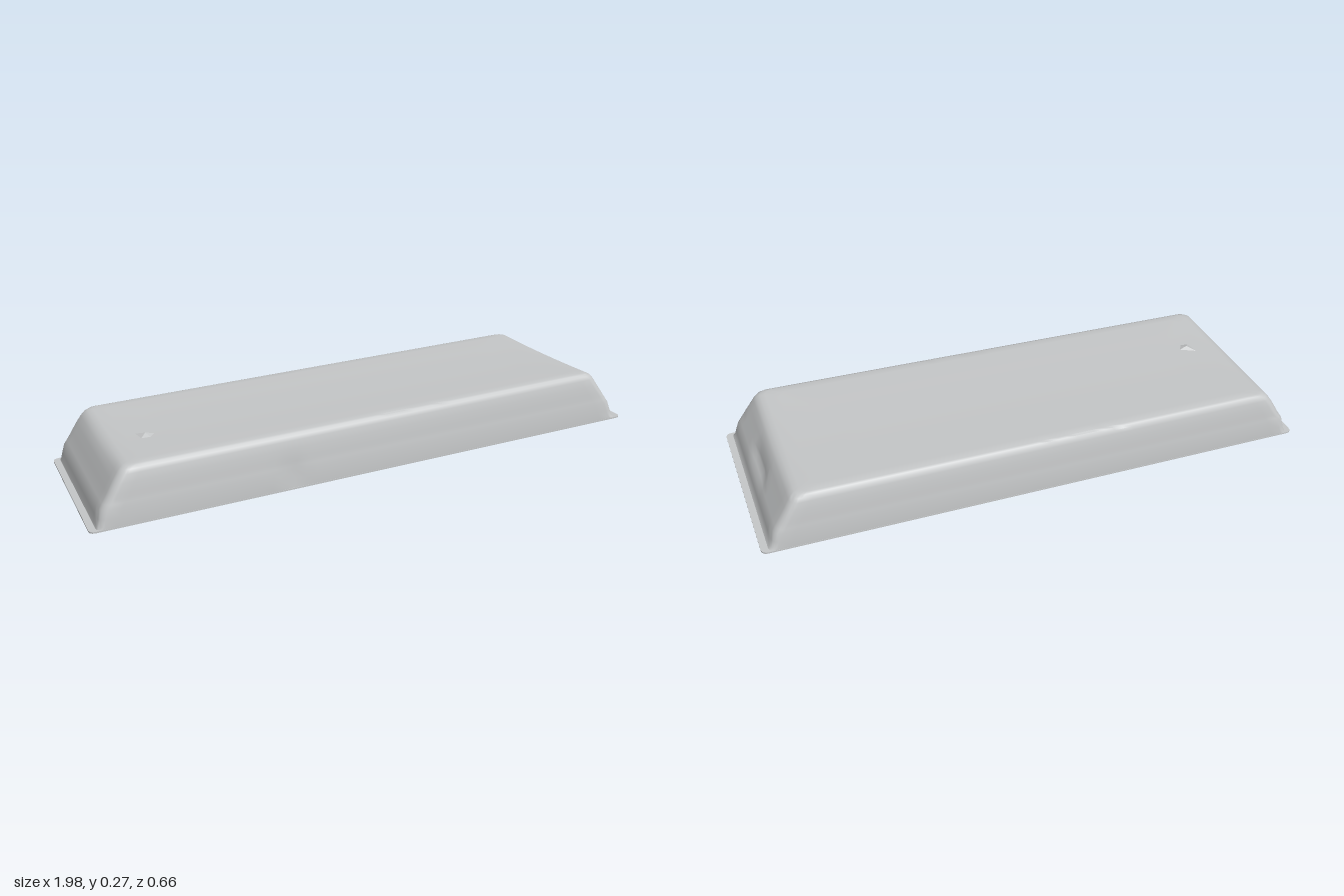
import * as THREE from 'three';
import { toCreasedNormals } from 'three/addons/utils/BufferGeometryUtils.js';
import { ConvexGeometry } from 'three/addons/geometries/ConvexGeometry.js';

// The whole bar leans: its base rises towards +x
const baseY = (x) => 0.046 * (x + 0.99);

// Rounded rectangle outline, counter-clockwise from above
function outline([h, x0, x1, hz, r]) {
  const pts = [];
  const corners = [[x1 - r, -hz + r], [x0 + r, -hz + r], [x0 + r, hz - r], [x1 - r, hz - r]];
  corners.forEach(([cx, cz], k) => {
    for (let i = 0; i <= 5; i++) {
      const a = (k + i / 5) * Math.PI / 2;
      pts.push(new THREE.Vector3(cx + r * Math.cos(a), h, cz - r * Math.sin(a)));
    }
    // subdivide the straight run to the next corner
    const next = corners[(k + 1) % 4], a = (k + 1) * Math.PI / 2;
    const n = k % 2 ? 16 : 48;
    const end = new THREE.Vector3(next[0] + r * Math.cos(a), h, next[1] - r * Math.sin(a));
    const start = pts[pts.length - 1];
    for (let i = 1; i < n; i++) pts.push(start.clone().lerp(end, i / n));
  });
  return pts;
}

// Skin stacked outlines, then bend each point by a rule and apply the lean
function loft(rows, rule = () => {}) {
  const position = [], index = [];
  const rings = rows.map(outline), n = rings[0].length;
  for (const p of rings.flat()) {
    rule(p);
    position.push(p.x, p.y + baseY(p.x), p.z + 0.004 * p.x);
  }
  for (let i = 0; i < rings.length - 1; i++) {
    for (let j = 0; j < n; j++) {
      const k = (j + 1) % n;
      const a = i * n + j, b = i * n + k, c = a + n, d = b + n;
      index.push(a, b, c, b, d, c);
    }
  }
  const g = new THREE.BufferGeometry();
  g.setAttribute('position', new THREE.Float32BufferAttribute(position, 3));
  g.setIndex(index);
  return toCreasedNormals(g, 0.75);
}

// Soft bump weight
const bell = (v, centre, width) => Math.exp(-(((v - centre) / width) ** 2));

// Casting flaws: sagging top, pressed end, nick low on the front side
function wear(p) {
  const { x, y, z } = p;
  if (y > 0.17) p.y -= 0.005 * (1 - (z / 0.3) ** 2);
  if (x > 0.8) p.x -= 0.012 * bell(y, 0.095, 0.02) * Math.exp(-((z / 0.085) ** 6));
  if (z > 0.25) p.z -= 0.006 * bell(x, -0.32, 0.03) * bell(y, 0.05, 0.05);
}

export function createModel() {
  const group = new THREE.Group();
  const metal = new THREE.MeshStandardMaterial({ color: 0xc6c8c9 });
  metal.name = 'pale metal';
  const add = (name, geometry) => {
    const mesh = new THREE.Mesh(geometry, metal);
    mesh.name = name;
    group.add(mesh);
  };

  // Tapered body: height, left x, right x, half depth, corner radius
  add('ingotBody', loft([
    [0.003, -0.968, 0.968, 0.325, 0.02],
    [0.012, -0.964, 0.960, 0.325, 0.025],
    [0.035, -0.959, 0.953, 0.324, 0.03],
    [0.065, -0.950, 0.942, 0.322, 0.03],
    [0.080, -0.940, 0.932, 0.320, 0.03],
    [0.095, -0.930, 0.922, 0.318, 0.03],
    [0.110, -0.921, 0.912, 0.317, 0.03],
    [0.140, -0.903, 0.892, 0.313, 0.03],
    [0.165, -0.886, 0.876, 0.309, 0.03],
    [0.178, -0.875, 0.866, 0.305, 0.03],
    [0.186, -0.862, 0.852, 0.299, 0.03],
    [0.189, -0.845, 0.835, 0.290, 0.03],
    [0.190, -0.800, 0.790, 0.260, 0.03],
    [0.190, -0.700, 0.690, 0.150, 0.03],
    [0.190, -0.600, 0.590, 0, 0],
  ], wear));

  // Thin lip under the body, showing at both ends
  add('baseLip', loft([
    [0, -0.6, 0.6, 0, 0],
    [0, -0.99, 0.99, 0.326, 0.02],
    [0.005, -0.99, 0.99, 0.326, 0.02],
    [0.005, -0.6, 0.6, 0, 0],
  ]));

  // Jagged drip hanging below the base
  const drip = [
    [0.68, 0.085, 0.06], [0.70, 0.085, 0.125], [0.78, 0.09, 0.11],
    [0.785, 0.09, 0.01], [0.72, 0.085, -0.005], [0.69, 0.066, 0.06],
    [0.705, 0.049, 0.07], [0.76, 0.053, 0.045], [0.775, 0.068, 0.01], [0.73, 0.046, 0.065],
  ];
  // Faint blister on the top face
  const blister = [
    [-0.78, 0.19, 0.02], [-0.68, 0.19, 0.06], [-0.72, 0.19, 0.11],
    [-0.77, 0.19, 0.10], [-0.74, 0.206, 0.065],
  ];
  const lump = (pts) => new ConvexGeometry(pts.map((p) => new THREE.Vector3(...p)));
  add('baseDrip', lump(drip));
  add('topBlister', lump(blister));

  return group;
}
